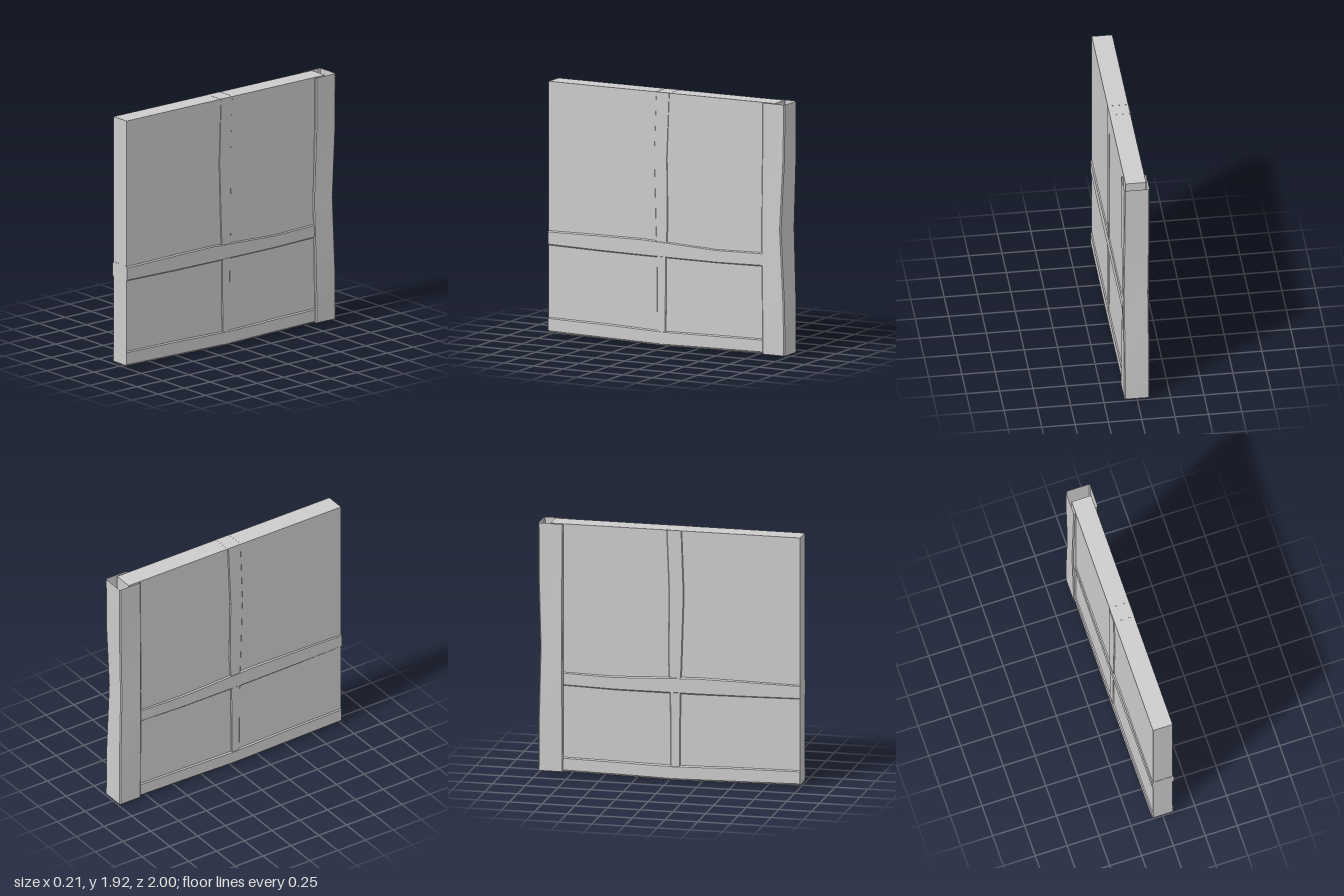
import * as THREE from 'three';
import { toCreasedNormals } from 'three/addons/utils/BufferGeometryUtils.js';

// Hewn beam: chamfered rings lofted along 'y' (stations top to bottom) or 'z' (back to front).
// Station: [position, minX, maxX, minB, maxB, twist], where B is the other cross axis.
function beamGeometry(axis, stations, bevel, capEnd = false) {
  const pos = [], index = [];
  for (const [p, a0, a1, b0, b1, twist = 0] of stations) {
    const ca = (a0 + a1) / 2, cb = (b0 + b1) / 2;
    const ring = [
      [a0 + bevel, b0], [a1 - bevel, b0], [a1, b0 + bevel], [a1, b1 - bevel],
      [a1 - bevel, b1], [a0 + bevel, b1], [a0, b1 - bevel], [a0, b0 + bevel],
    ];
    for (const [a, b] of ring) {
      const x = a - twist * (b - cb), v = b + twist * (a - ca);
      if (axis === 'y') pos.push(x, p, v);
      else pos.push(x, v, p);
    }
  }
  for (let s = 0; s < stations.length - 1; s++) {
    for (let i = 0; i < 8; i++) {
      const a = s * 8 + i, b = s * 8 + (i + 1) % 8;
      index.push(a, b, b + 8, a, b + 8, a + 8);
    }
  }
  if (capEnd) {
    const o = (stations.length - 1) * 8;
    for (let i = 1; i < 7; i++) index.push(o, o + i, o + i + 1);
  }
  const g = new THREE.BufferGeometry();
  g.setAttribute('position', new THREE.Float32BufferAttribute(pos, 3));
  g.setIndex(index);
  return toCreasedNormals(g, 0.5);
}

export function createModel() {
  const group = new THREE.Group();
  const grey = new THREE.MeshStandardMaterial({ color: 0xcccccc, side: THREE.DoubleSide });
  grey.name = 'plain grey';

  const add = (name, geometry) => {
    const mesh = new THREE.Mesh(geometry, grey);
    mesh.name = name;
    group.add(mesh);
    return mesh;
  };

  // Infill wall slab
  add('wallPanel', new THREE.BoxGeometry(0.154, 1.895, 1.91)).position.set(0, 0.9725, 0.045);

  // Corner post, open at both ends and slightly twisted at mid height
  add('cornerPost', beamGeometry('y', [
    [1.92, -0.092, 0.097, -1, -0.81],
    [1.5, -0.094, 0.098, -0.997, -0.809, 0.02],
    [0.97, -0.096, 0.094, -0.977, -0.803, 0.1],
    [0.4, -0.094, 0.097, -0.997, -0.808, 0.02],
    [0.02, -0.092, 0.097, -1, -0.81],
  ], 0.008));

  // Middle rail, capped at the front
  add('middleRail', beamGeometry('z', [
    [-0.85, -0.084, 0.086, 0.675, 0.79],
    [-0.42, -0.086, 0.084, 0.664, 0.78],
    [0.2, -0.087, 0.085, 0.665, 0.806],
    [0.55, -0.085, 0.086, 0.668, 0.803],
    [1.0, -0.084, 0.086, 0.676, 0.796],
  ].map((s, i) => i === 4 ? [1.002, ...s.slice(1)] : s), 0.014, true));

  // Sill along the bottom edge
  add('bottomRail', beamGeometry('z', [
    [-0.9, -0.085, 0.085, 0.021, 0.138],
    [-0.4, -0.086, 0.086, 0.013, 0.13],
    [0.03, -0.087, 0.085, 0.004, 0.122],
    [0.5, -0.086, 0.086, 0.012, 0.135],
    [1.0, -0.085, 0.085, 0.021, 0.141],
  ], 0.014));

  // Upright stud crossing both rails
  add('middleStud', beamGeometry('y', [
    [1.921, -0.082, 0.079, -0.022, 0.096],
    [1.43, -0.084, 0.08, -0.002, 0.113],
    [0.95, -0.084, 0.082, -0.008, 0.098],
    [0.66, -0.084, 0.083, 0.005, 0.088],
    [0.4, -0.083, 0.083, 0.008, 0.086],
    [0.015, -0.084, 0.084, 0.01, 0.082],
  ], 0.006));

  return group;
}
